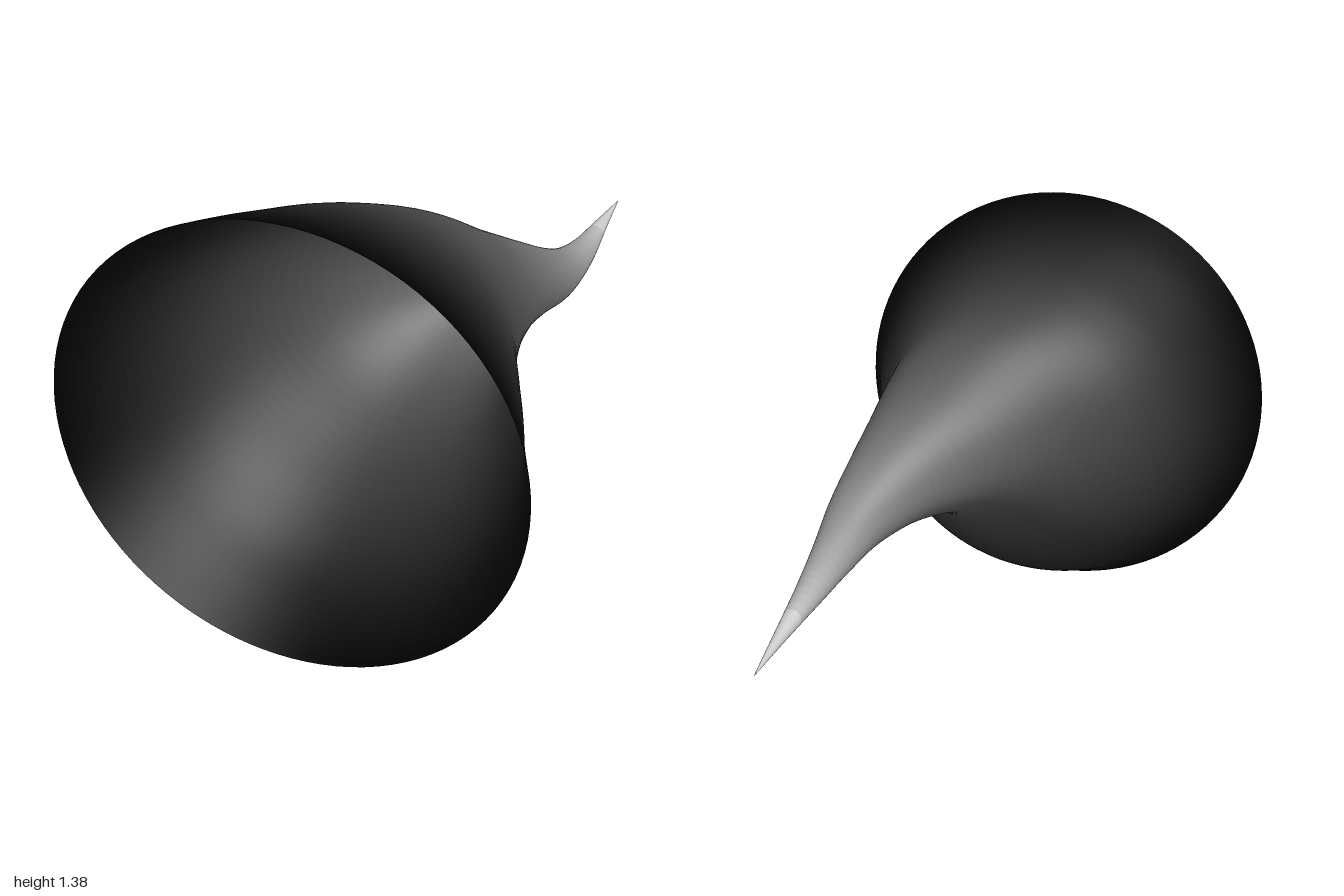
import * as THREE from 'three';

// Rings along the horn: z, then the left/right and bottom/top limits of each ring
const RINGS = [
  [1.0, -0.688, 0.688, 0.0, 1.378],
  [0.85, -0.628, 0.622, 0.068, 1.324],
  [0.7, -0.556, 0.565, 0.135, 1.268],
  [0.56, -0.48, 0.505, 0.228, 1.215],
  [0.42, -0.372, 0.446, 0.352, 1.155],
  [0.27, -0.208, 0.418, 0.485, 1.08],
  [0.12, -0.05, 0.41, 0.563, 0.97],
  [-0.04, 0.11, 0.412, 0.58, 0.861],
  [-0.2, 0.218, 0.415, 0.56, 0.76],
  [-0.37, 0.267, 0.4, 0.54, 0.675],
  [-0.55, 0.292, 0.38, 0.53, 0.617],
  [-0.78, 0.308, 0.35, 0.532, 0.575],
  [-1.0, 0.321, 0.323, 0.532, 0.534],
];
const SIDES = 96, BANDS = 72;

// Smooth curves for the centre line and for the half width / half height
const centre = new THREE.CatmullRomCurve3(
  RINGS.map(([z, l, r, b, t]) => new THREE.Vector3((l + r) / 2, (b + t) / 2, z)));
const radii = new THREE.CatmullRomCurve3(
  RINGS.map(([z, l, r, b, t]) => new THREE.Vector3((r - l) / 2, (t - b) / 2, z)));

// The whole shell, so that normals run smoothly across the bands
function hornGeometry() {
  const positions = [], indices = [];
  for (let i = 0; i <= BANDS; i++) {
    const c = centre.getPoint(i / BANDS), r = radii.getPoint(i / BANDS);
    for (let j = 0; j < SIDES; j++) {
      const a = (j / SIDES) * Math.PI * 2;
      positions.push(c.x + r.x * Math.cos(a), c.y + r.y * Math.sin(a), c.z);
    }
  }
  for (let i = 0; i < BANDS; i++) {
    for (let j = 0; j < SIDES; j++) {
      const k = (j + 1) % SIDES;
      const a = i * SIDES + j, b = i * SIDES + k, c = a + SIDES, d = b + SIDES;
      indices.push(a, c, b, b, c, d);
    }
  }
  const geometry = new THREE.BufferGeometry();
  geometry.setAttribute('position', new THREE.Float32BufferAttribute(positions, 3));
  geometry.setIndex(indices);
  geometry.computeVertexNormals();
  return geometry;
}

// One ring-shaped band cut out of the shell, with its own vertices
function bandGeometry(shell, i) {
  const geometry = new THREE.BufferGeometry();
  for (const name of ['position', 'normal']) {
    const part = shell.getAttribute(name).array.slice(i * SIDES * 3, (i + 2) * SIDES * 3);
    geometry.setAttribute(name, new THREE.BufferAttribute(part, 3));
  }
  const faces = shell.index.array.slice(i * SIDES * 6, (i + 1) * SIDES * 6);
  geometry.setIndex(Array.from(faces, (v) => v - i * SIDES));
  return geometry;
}

export function createModel() {
  const group = new THREE.Group();
  group.name = 'horn';

  // Thin open shell, fading from a black mouth to a pale tip
  const shell = hornGeometry();
  for (let i = 0; i < BANDS; i++) {
    const z = centre.getPoint((i + 0.5) / BANDS).z;
    const grey = 0.86 * (1 - z) / 2;
    const color = new THREE.Color().setRGB(grey, grey, grey, THREE.SRGBColorSpace);
    const band = new THREE.Mesh(
      bandGeometry(shell, i),
      new THREE.MeshStandardMaterial({ color, side: THREE.DoubleSide }));
    band.name = `hornBand${i + 1}`;
    group.add(band);
  }
  return group;
}
